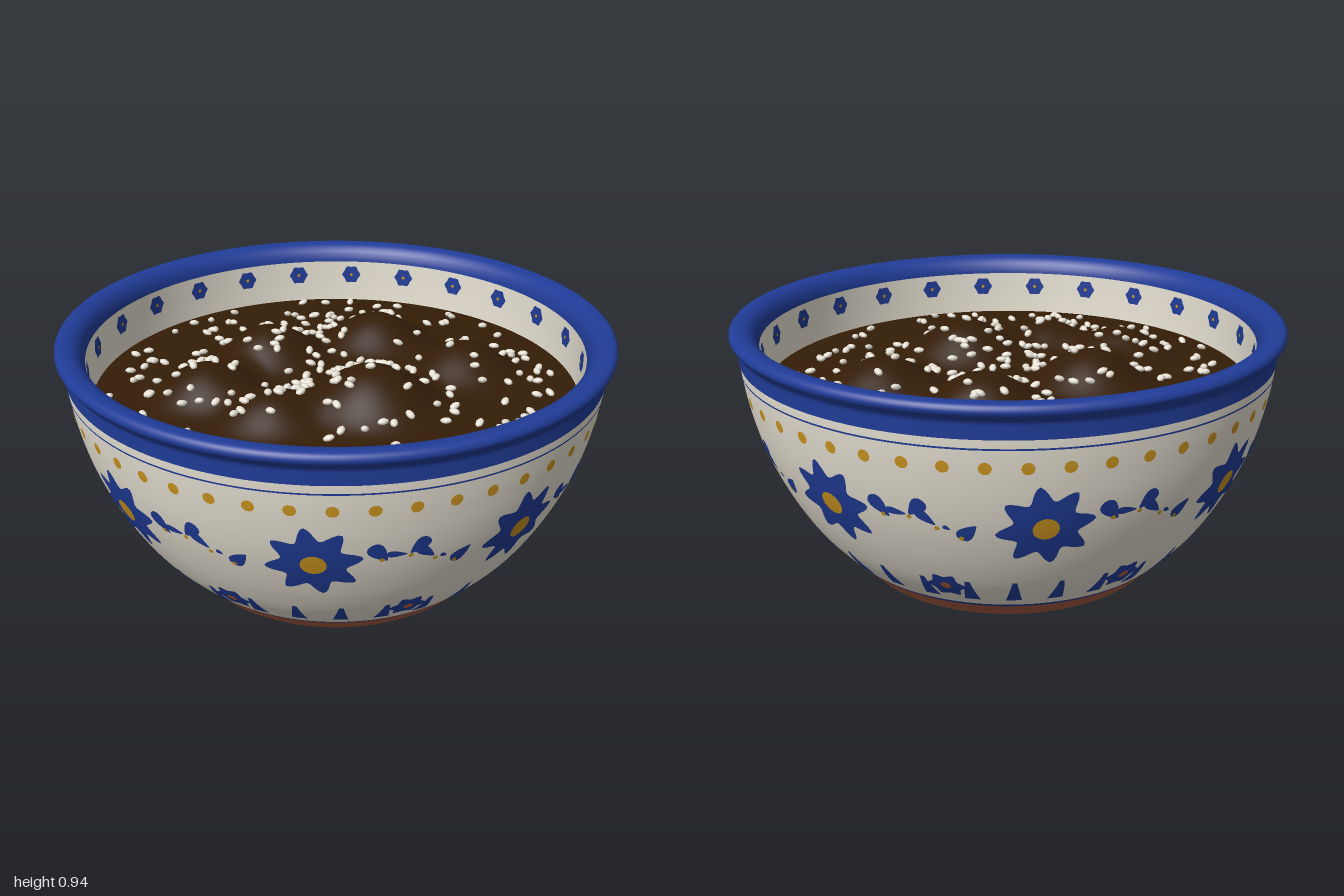
import * as THREE from 'three';
import { mergeGeometries, toCreasedNormals } from 'three/addons/utils/BufferGeometryUtils.js';

const mat = (name, color) => {
  const m = new THREE.MeshStandardMaterial({ color });
  m.name = name;
  return m;
};
const v2 = (list) => list.map(([x, y]) => new THREE.Vector2(x, y));
const TAU = Math.PI * 2;

// Smooth outer wall: radius as a function of height
const wall = new THREE.SplineCurve(v2([
  [0.635, 0.07], [0.67, 0.1], [0.755, 0.2], [0.818, 0.3], [0.868, 0.4], [0.908, 0.5],
  [0.937, 0.6], [0.957, 0.7], [0.968, 0.78], [0.972, 0.83],
])).getPoints(90);
function outerRadius(y) {
  let i = 1;
  while (i < wall.length - 1 && wall[i].y < y) i++;
  const a = wall[i - 1], b = wall[i];
  return a.x + (b.x - a.x) * (y - a.y) / (b.y - a.y);
}
const innerRadius = (y) => 0.895 + 0.045 * (y - 0.7);

// Sauce surface: soft lumps above a slightly domed base [x, z, radius, height]
const lumps = [
  [-0.02, -0.4, 0.26, 0.11], [0.39, -0.3, 0.26, 0.1], [-0.33, -0.07, 0.27, 0.115],
  [0.21, 0.13, 0.3, 0.13], [-0.37, 0.31, 0.25, 0.1], [-0.06, 0.38, 0.23, 0.085],
];
function soupHeight(x, z) {
  let h = 0.692 + 0.03 * Math.max(0, 1 - (x * x + z * z) / 0.8);
  for (const [cx, cz, r, height] of lumps) {
    const d = ((x - cx) ** 2 + (z - cz) ** 2) / (r * r);
    if (d < 1) h += height * (1 - d) ** 2;
  }
  return h;
}

// Outlines, star-shaped about their own centre
const dot = (r) => (t) => [r * Math.cos(t), r * Math.sin(t)];
const bloom = (inner, outer, petals, turn = 0) => (t) => {
  const r = inner + (outer - inner) * (1 - Math.abs(Math.sin((t - turn) * petals / 2)) ** 1.5);
  return [r * Math.cos(t), r * Math.sin(t)];
};
const leaf = (length, width, turn) => (t) => {
  const u = length / 2 * Math.cos(t);
  const v = width / 2 * Math.sin(t) * (1 - 0.6 * Math.cos(t));
  return [u * Math.cos(turn) - v * Math.sin(turn), u * Math.sin(turn) + v * Math.cos(turn)];
};
const spike = (width, height) => (t) => {
  const c = Math.cos(t), s = Math.sin(t), m = Math.max(Math.abs(c), Math.abs(s));
  return [c / m * width / 2 * (0.64 - 0.36 * s / m), s / m * height / 2];
};

// Thin painted patch wrapped on the bowl wall at an angle and height
function patch(outline, angle, y, { inside = false, lift = 0.004, segments = 16, rings = 2 } = {}) {
  const pos = [], index = [];
  for (let k = 0; k <= rings; k++) {
    for (let i = 0; i < segments; i++) {
      const [u, v] = outline(i / segments * TAU).map((c) => c * k / rings);
      const h = y + v;
      const r = inside ? innerRadius(h) - lift : outerRadius(h) + lift;
      const a = angle + u / r;
      pos.push(r * Math.sin(a), h, r * Math.cos(a));
      if (k === rings) continue;
      const p = k * segments + i, q = k * segments + (i + 1) % segments;
      const s = p + segments, w = q + segments;
      const quad = k ? [p, s, w, p, w, q] : [p, s, w];
      index.push(...(inside ? quad.reverse() : quad));
    }
  }
  const g = new THREE.BufferGeometry();
  g.setAttribute('position', new THREE.Float32BufferAttribute(pos, 3));
  g.setIndex(index);
  g.computeVertexNormals();
  return g;
}

export function createModel() {
  const cream = mat('cream glaze', 0xe6e0d2);
  const blue = mat('cobalt blue', 0x203c98);
  const amber = mat('amber paint', 0xcb951f);
  const clay = mat('terracotta', 0x9f593f);
  const red = mat('rust paint', 0xb0603a);
  const sauce = mat('dark sauce', 0x341d07);
  const seedColor = mat('sesame', 0xeae4d8);

  const model = new THREE.Group();
  const add = (name, geometry, material) => {
    const m = new THREE.Mesh(geometry, material);
    m.name = name;
    model.add(m);
  };
  const lathe = (points) => new THREE.LatheGeometry(points, 128);
  const band = (y0, y1, lift) => {
    const pts = [];
    for (let i = 0; i <= 4; i++) {
      const y = y0 + (y1 - y0) * i / 4;
      pts.push(new THREE.Vector2(outerRadius(y) + lift, y));
    }
    return lathe(pts);
  };

  // Bowl body
  add('foot', toCreasedNormals(lathe(v2([
    [0, 0.03], [0.42, 0.03], [0.45, 0.027], [0.48, 0.015], [0.5, 0.004], [0.52, 0], [0.565, 0],
    [0.585, 0.006], [0.603, 0.03], [0.637, 0.07],
  ])), 0.6), clay);
  add('outerWall', lathe(wall), cream);
  add('innerWall', lathe(v2([[0.903, 0.88], [innerRadius(0.8), 0.8], [innerRadius(0.7), 0.7], [0.885, 0.62]])), cream);
  add('rim', lathe(new THREE.SplineCurve(v2([
    [0.973, 0.82], [0.974, 0.85], [0.976, 0.872], [0.986, 0.888], [0.998, 0.904], [1, 0.917], [0.991, 0.931],
    [0.972, 0.936], [0.94, 0.93], [0.916, 0.91], [0.904, 0.885], [0.9, 0.866],
  ])).getPoints(44)), blue);
  add('lowerBand', band(0.07, 0.095, 0.004), blue);
  add('upperLine', band(0.787, 0.793, 0.003), blue);

  // Painted decoration, gathered by colour
  const blues = [], ambers = [], reds = [];
  const deg = Math.PI / 180;
  const leaves = [ // x, y, length, width, turn
    [-0.16, 0.55, 0.09, 0.05, -0.9], [-0.105, 0.54, 0.07, 0.024, -0.1],
    [-0.035, 0.567, 0.08, 0.046, -2.3], [-0.01, 0.533, 0.08, 0.034, -0.7],
    [0.055, 0.5, 0.025, 0.015, -0.5], [0.12, 0.487, 0.08, 0.046, 0.8],
  ];
  for (let k = 0; k < 8; k++) {
    const mid = k * 45 * deg, main = mid + 22.5 * deg;
    // Large flowers
    blues.push(patch(bloom(0.103, 0.158, 8, 100 * deg), main, 0.507, { segments: 80, rings: 5 }));
    ambers.push(patch(dot(0.042), main, 0.503, { lift: 0.007 }));
    // Leaf sprigs between the flowers
    for (const [x, y, l, w, turn] of leaves) blues.push(patch(leaf(l, w, turn), mid + x / 0.92, y));
    for (const [x, y] of [[-0.15, 0.522], [-0.06, 0.53], [0.025, 0.497], [0.1, 0.463]]) {
      ambers.push(patch(dot(0.009), mid + x / 0.92, y, { lift: 0.007, segments: 6, rings: 1 }));
    }
    // Small flowers near the foot
    blues.push(patch(bloom(0.048, 0.066, 6), mid, 0.212, { segments: 36 }));
    reds.push(patch(dot(0.018), mid, 0.216, { lift: 0.008, segments: 8 }));
  }
  // Upright tapered petals around the foot
  for (let k = 0; k < 32; k++) {
    blues.push(patch(spike(0.054, 0.115), (k + 0.5) * 11.25 * deg, 0.19, { rings: 3 }));
  }
  // Dotted border under the rim
  for (let k = 0; k < 48; k++) ambers.push(patch(dot(0.021), (k + 0.5) * 7.5 * deg, 0.727, { segments: 10 }));
  // Little flowers on the inside
  for (let k = 0; k < 24; k++) {
    const a = (k + 0.5) * 15 * deg;
    blues.push(patch(bloom(0.034, 0.041, 6), a, 0.808, { inside: true, segments: 24 }));
    ambers.push(patch(dot(0.007), a, 0.808, { inside: true, lift: 0.007, segments: 8 }));
  }
  add('blueFlowersAndLeaves', mergeGeometries(blues), blue);
  add('amberDots', mergeGeometries(ambers), amber);
  add('smallFlowerCentres', mergeGeometries(reds), red);

  // Lumpy sauce filling
  const soup = new THREE.RingGeometry(0.0005, 0.9, 96, 48).rotateX(-Math.PI / 2);
  const p = soup.attributes.position;
  for (let i = 0; i < p.count; i++) p.setY(i, soupHeight(p.getX(i), p.getZ(i)));
  soup.computeVertexNormals();
  add('sauce', soup, sauce);

  // Scattered sesame seeds
  let state = 17;
  const random = () => (state = (state * 16807) % 2147483647) / 2147483647;
  const seeds = [];
  for (let i = 0; i < 250; i++) {
    const r = 0.84 * random() ** 0.68, a = random() * TAU;
    const x = r * Math.sin(a), z = r * Math.cos(a);
    const g = new THREE.SphereGeometry(1, 8, 6).scale(0.021, 0.011, 0.014);
    g.rotateZ((random() - 0.5) * 0.8).rotateY(random() * TAU);
    seeds.push(g.translate(x, soupHeight(x, z) + 0.007, z));
  }
  add('sesameSeeds', mergeGeometries(seeds), seedColor);

  return model;
}
